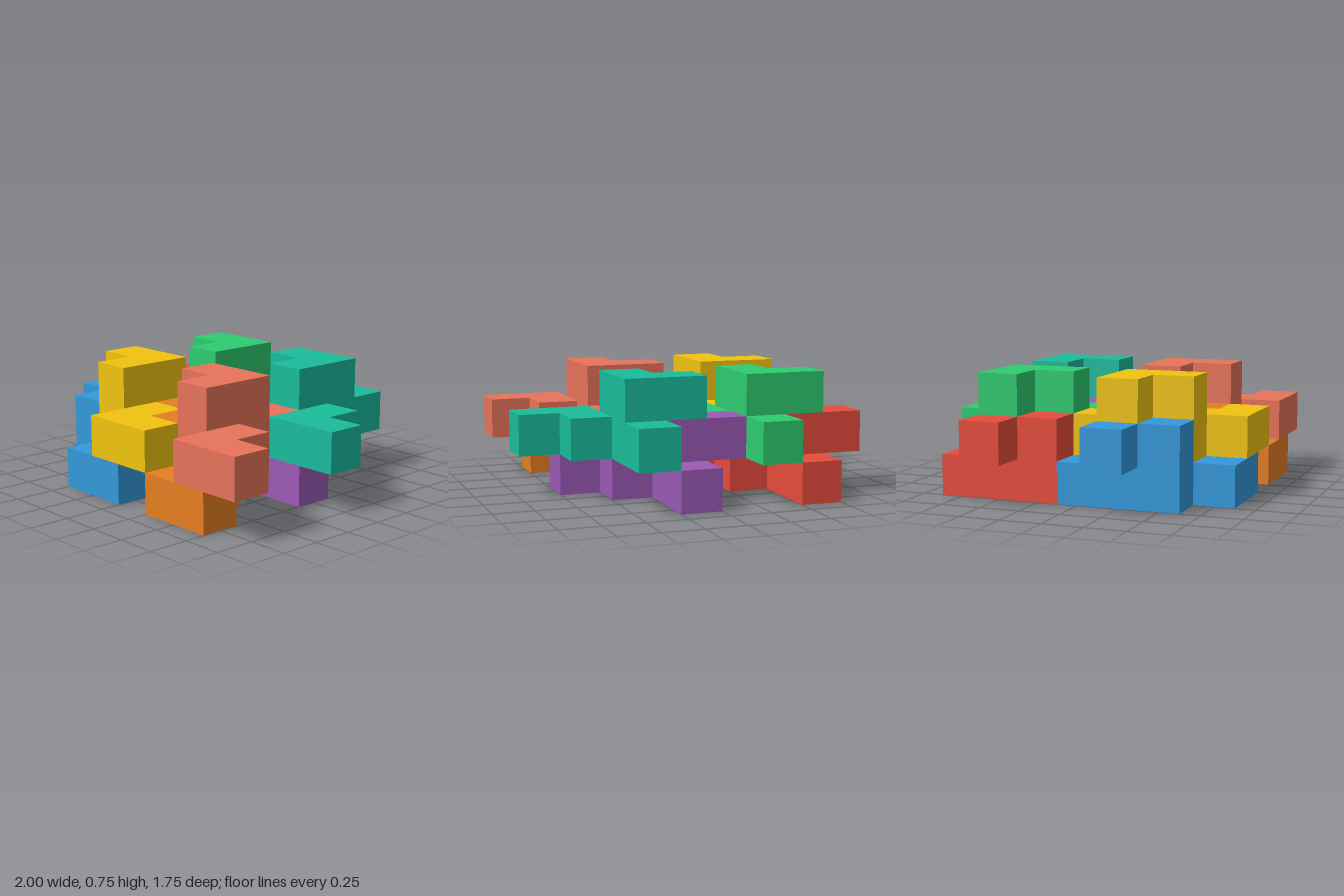
import * as THREE from 'three';
import { mergeGeometries } from 'three/addons/utils/BufferGeometryUtils.js';

const S = 0.25; // cube edge

// One interlocking piece as [column, layer, row] cells
const CELLS = [
  [1, 0, 0], [1, 0, 1], [1, 0, 2], [2, 0, 2], [2, 0, 3], [3, 0, 3], // lower zigzag
  [0, 1, 1], [1, 1, 1], [1, 1, 2], // upper corner
];

const DIRECTIONS = [[1, 0, 0], [-1, 0, 0], [0, 1, 0], [0, -1, 0], [0, 0, 1], [0, 0, -1]];

// Outer faces only: a face is skipped where two cells of the piece meet
function pieceGeometry() {
  const filled = new Set(CELLS.map(String));
  const forward = new THREE.Vector3(0, 0, 1);
  const faces = [];
  for (const cell of CELLS) {
    for (const dir of DIRECTIONS) {
      if (filled.has(String(cell.map((c, a) => c + dir[a])))) continue;
      const face = new THREE.PlaneGeometry(S, S);
      const turn = new THREE.Quaternion().setFromUnitVectors(forward, new THREE.Vector3(...dir));
      face.applyQuaternion(turn);
      face.translate(...cell.map((c, a) => (c + 0.5 + dir[a] / 2) * S));
      faces.push(face);
    }
  }
  return mergeGeometries(faces);
}

// Two by two stacks, each a lower piece with an identical one a step up and across
const STACKS = [
  { name: 'backRight', column: 0, row: 0, lower: 0xe74c3c, upper: 0x2ecc71 },
  { name: 'frontRight', column: 0, row: 3, lower: 0x3498db, upper: 0xf1c40f },
  { name: 'backLeft', column: 3, row: 0, lower: 0x9b59b6, upper: 0x1abc9c },
  { name: 'frontLeft', column: 3, row: 3, lower: 0xe67e22, upper: 0xe8735a },
];

export function createModel() {
  const model = new THREE.Group();
  model.name = 'interlockingBlocks';
  const geometry = pieceGeometry();

  const addPiece = (name, color, column, layer, row) => {
    const piece = new THREE.Mesh(geometry, new THREE.MeshStandardMaterial({ color }));
    piece.name = name;
    piece.position.set(-1 + column * S, layer * S, -0.875 + row * S);
    model.add(piece);
  };

  for (const { name, column, row, lower, upper } of STACKS) {
    addPiece(`${name}LowerPiece`, lower, column, 0, row);
    addPiece(`${name}UpperPiece`, upper, column + 1, 1, row);
  }
  return model;
}
